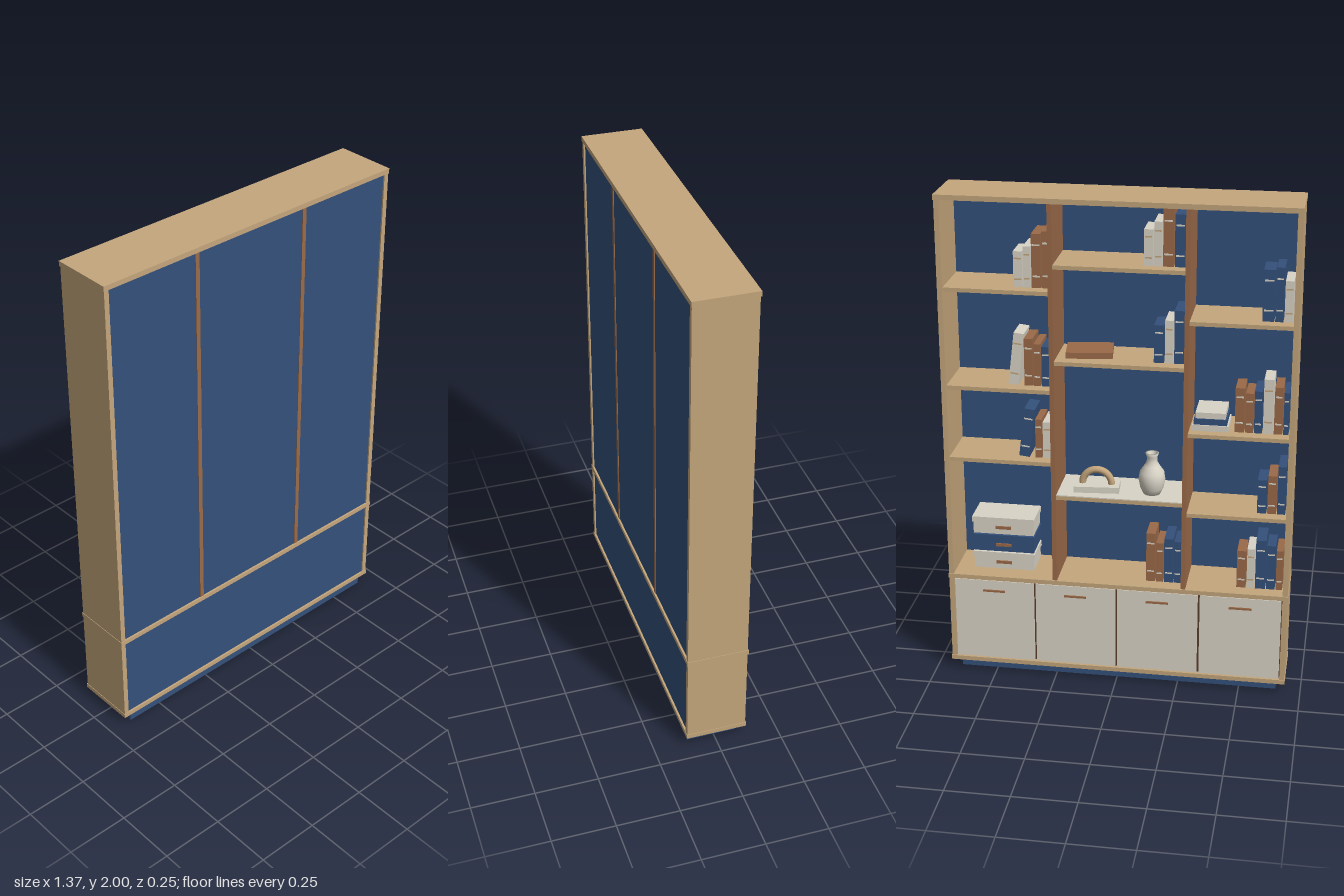
import * as THREE from 'three';

const mat = (name, color) => {
  const m = new THREE.MeshStandardMaterial({ color });
  m.name = name;
  return m;
};

export function createModel() {
  const oak = mat('light oak', 0xc4a67c);
  const navy = mat('navy', 0x34507a);
  const walnut = mat('walnut', 0x9a6a48);
  const white = mat('warm white', 0xd9d4c7);
  const dark = mat('dark brown', 0x5a3d2b);

  const model = new THREE.Group();
  model.name = 'bookcase';

  const add = (parent, name, geometry, material, x = 0, y = 0, z = 0) => {
    const mesh = new THREE.Mesh(geometry, material);
    mesh.name = name;
    mesh.position.set(x, y, z);
    parent.add(mesh);
    return mesh;
  };
  // box given by its extents on each axis
  const block = (parent, name, material, x0, x1, y0, y1, z0, z1) =>
    add(parent, name, new THREE.BoxGeometry(x1 - x0, y1 - y0, z1 - z0), material,
      (x0 + x1) / 2, (y0 + y1) / 2, (z0 + z1) / 2);

  // carcass; the open side faces -z
  block(model, 'plinth', navy, -0.65, 0.65, 0, 0.045, -0.09, 0.11);
  block(model, 'bottomBoard', oak, -0.687, 0.687, 0.042, 0.06, -0.124, 0.122);
  block(model, 'topBoard', oak, -0.687, 0.687, 1.98, 2, -0.124, 0.122);
  block(model, 'counterBoard', oak, -0.687, 0.687, 0.418, 0.436, -0.124, 0.122);
  for (const s of [-1, 1]) {
    block(model, 'sidePanel', oak, s * 0.675 - 0.01, s * 0.675 + 0.01, 0.05, 1.99, -0.12, 0.12);
  }
  block(model, 'backPanel', navy, -0.668, 0.668, 0.05, 1.99, 0.104, 0.114);
  for (const x of [0.249, -0.269]) {
    block(model, 'divider', walnut, x - 0.009, x + 0.009, 0.43, 1.985, -0.118, 0.117);
  }

  // staggered shelves, one list of heights per column
  const columns = [
    { x0: 0.256, x1: 0.668, heights: [1.64, 1.245, 0.945] },
    { x0: -0.262, x1: 0.242, heights: [1.745, 1.365, 0.805] },
    { x0: -0.668, x1: -0.276, heights: [1.55, 1.1, 0.765] },
  ];
  for (const c of columns) {
    for (const y of c.heights) block(model, 'shelf', oak, c.x0, c.x1, y - 0.016, y, -0.113, 0.106);
  }
  block(model, 'shelfMat', white, -0.259, 0.239, 0.805, 0.809, -0.112, 0.1);

  // cupboard doors with slim pulls
  block(model, 'cupboardShadowGap', dark, -0.665, 0.665, 0.06, 0.418, -0.106, -0.104);
  for (let i = 0; i < 4; i++) {
    const x = (1.5 - i) * 0.333;
    block(model, 'door', white, x - 0.162, x + 0.162, 0.064, 0.414, -0.12, -0.106);
    block(model, 'doorPull', walnut, x - 0.045, x + 0.045, 0.366, 0.374, -0.126, -0.12);
  }

  // rows of books: [material, thickness, height], from +x towards -x, ending at xEnd
  const W = white, N = navy, B = walnut;
  const bookRow = (xEnd, y, books, lean = 0) => {
    const row = new THREE.Group();
    row.name = 'bookRow';
    model.add(row);
    let x = xEnd + books.reduce((sum, b) => sum + b[1] + 0.004, 0) + (lean ? 0.02 : 0);
    books.forEach(([m, t, h], i) => {
      const book = new THREE.Group();
      book.name = 'book';
      const depth = 0.11 + (i % 3) * 0.008;
      block(book, 'cover', m, -t / 2, t / 2, 0, h, -depth / 2, depth / 2);
      for (const f of [0.2, 0.78]) {
        block(book, 'spineBand', m === W ? oak : W, -t * 0.4, t * 0.4, h * f, h * f + 0.006,
          -depth / 2 - 0.001, -depth / 2);
      }
      const tilt = i === 0 ? lean : 0;
      book.rotation.z = tilt;
      book.position.set(x - t / 2, y + Math.sin(tilt) * t / 2, -0.065 + depth / 2);
      row.add(book);
      x -= t + 0.004 + (tilt ? 0.02 : 0);
    });
  };
  bookRow(0.26, 1.64, [[W, 0.034, 0.14], [W, 0.028, 0.16], [B, 0.036, 0.21], [B, 0.026, 0.22]]);
  bookRow(0.26, 1.245, [[W, 0.04, 0.21], [B, 0.034, 0.19], [B, 0.026, 0.17], [N, 0.034, 0.16]], 0.12);
  bookRow(0.26, 0.945, [[N, 0.042, 0.2], [B, 0.026, 0.16], [W, 0.034, 0.15]], 0.12);
  bookRow(-0.258, 1.745, [[W, 0.034, 0.14], [W, 0.03, 0.17], [B, 0.04, 0.22], [N, 0.04, 0.2]]);
  bookRow(-0.258, 1.365, [[N, 0.038, 0.15], [W, 0.032, 0.17], [N, 0.038, 0.21]]);
  bookRow(-0.258, 0.436, [[B, 0.036, 0.21], [B, 0.028, 0.17], [N, 0.036, 0.19], [N, 0.028, 0.18]]);
  bookRow(-0.663, 1.55, [[N, 0.044, 0.2], [N, 0.03, 0.21], [W, 0.032, 0.16]]);
  bookRow(-0.663, 1.1, [[B, 0.036, 0.18], [B, 0.03, 0.16], [N, 0.03, 0.17], [W, 0.038, 0.22], [B, 0.032, 0.19], [N, 0.02, 0.17]]);
  bookRow(-0.663, 0.765, [[N, 0.036, 0.14], [B, 0.034, 0.16], [N, 0.032, 0.2]]);
  bookRow(-0.663, 0.436, [[B, 0.036, 0.16], [W, 0.03, 0.17], [N, 0.04, 0.21], [N, 0.034, 0.19], [B, 0.026, 0.17]]);

  // lying books
  [W, N, W].forEach((m, i) => {
    block(model, 'lyingBook', m, -0.43 + i * 0.006, -0.29 - i * 0.006,
      1.1 + i * 0.026, 1.124 + i * 0.026, -0.075, 0.06);
  });
  const flat = block(model, 'flatBook', B, 0.03, 0.21, 1.365, 1.389, -0.06, 0.07);
  flat.rotation.y = 0.12;

  // stacked storage boxes with label pulls
  [W, N, W].forEach((m, i) => {
    const y = 0.436 + i * 0.077;
    block(model, 'storageBox', m, 0.348, 0.595, y, y + 0.05, -0.045, 0.09);
    block(model, 'boxLid', m, 0.344, 0.599, y + 0.05, y + 0.073, -0.049, 0.094);
    block(model, 'boxPull', walnut, 0.44, 0.503, y + 0.024, y + 0.036, -0.051, -0.045);
  });

  // arch ornament on a slab
  const slab = block(model, 'ornamentBase', white, 0.0, 0.18, 0.809, 0.834, -0.07, 0.02);
  slab.rotation.y = 0.08;
  add(model, 'ornamentArch', new THREE.TorusGeometry(0.058, 0.014, 12, 28, Math.PI), oak, 0.09, 0.834, -0.025);

  // vase
  const profile = [[0, 0], [0.034, 0], [0.046, 0.025], [0.053, 0.06], [0.048, 0.092], [0.03, 0.118],
    [0.021, 0.135], [0.021, 0.155], [0.027, 0.17], [0.018, 0.17], [0.015, 0.14], [0, 0.13]];
  add(model, 'vase', new THREE.LatheGeometry(profile.map(([r, y]) => new THREE.Vector2(r, y)), 32),
    white, -0.13, 0.809, -0.03);

  return model;
}
